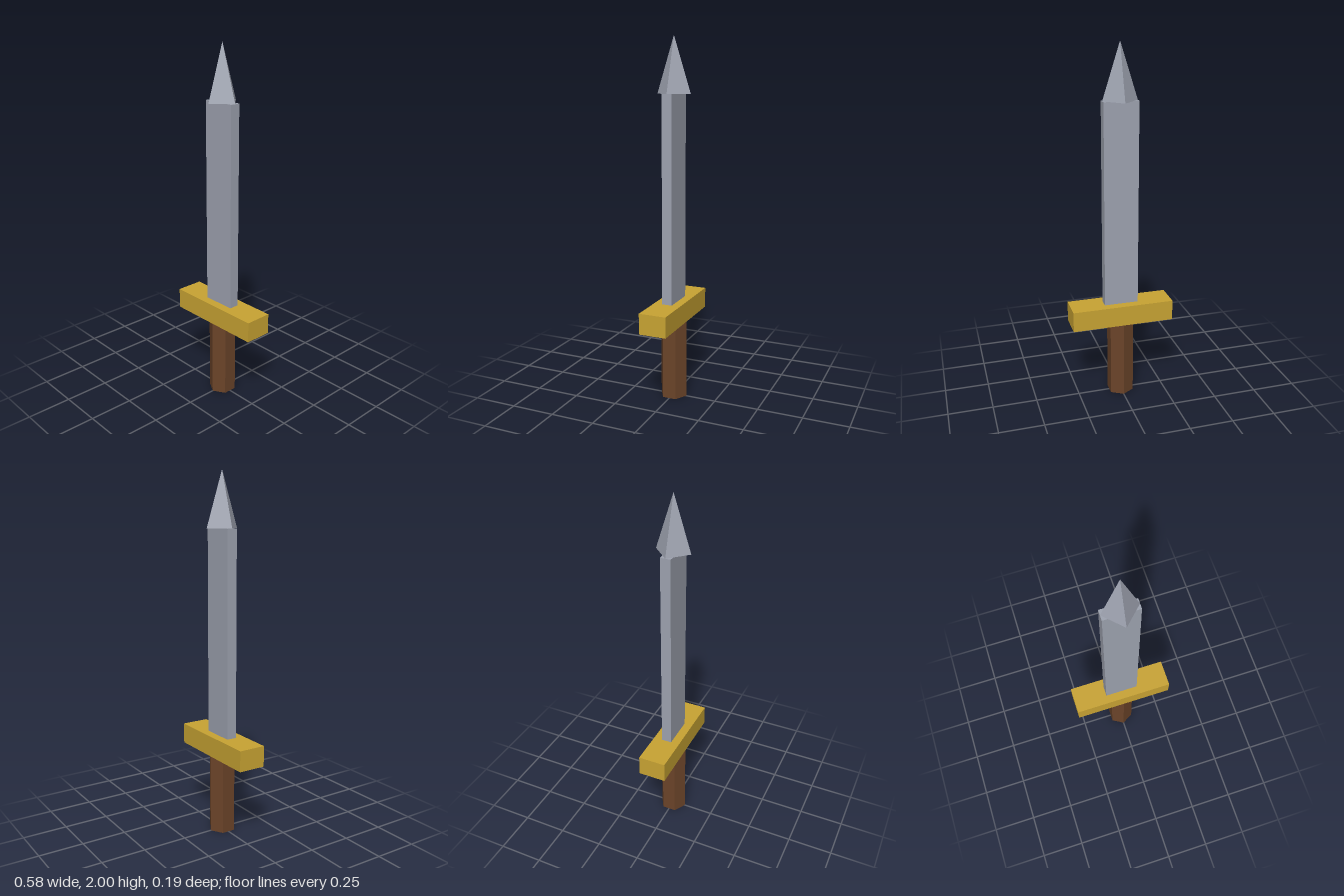
import * as THREE from 'three';

const flat = (color, name) => {
  const material = new THREE.MeshStandardMaterial({ color, flatShading: true });
  material.name = name;
  return material;
};

export function createModel() {
  const sword = new THREE.Group();
  sword.name = 'sword';
  const steel = flat(0x9ea3b0, 'steel');
  const gold = flat(0xc9a433, 'gold');
  const wood = flat(0x6b4429, 'wood');

  // Adds a part whose underside sits at the given height
  const add = (name, geometry, material, height, bottom) => {
    const mesh = new THREE.Mesh(geometry, material);
    mesh.name = name;
    mesh.position.y = bottom + height / 2;
    sword.add(mesh);
  };

  // Hexagonal grip, with corners to the front and back
  add('grip', new THREE.CylinderGeometry(0.077, 0.077, 0.446, 6), wood, 0.446, 0);
  // Crossguard
  add('crossguard', new THREE.BoxGeometry(0.577, 0.116, 0.154), gold, 0.116, 0.446);
  // Flat blade
  add('blade', new THREE.BoxGeometry(0.192, 1.137, 0.057), steel, 1.137, 0.562);
  // Four-sided point, with corners on the axes
  add('bladeTip', new THREE.ConeGeometry(0.096, 0.301, 4), steel, 0.301, 1.699);

  return sword;
}
